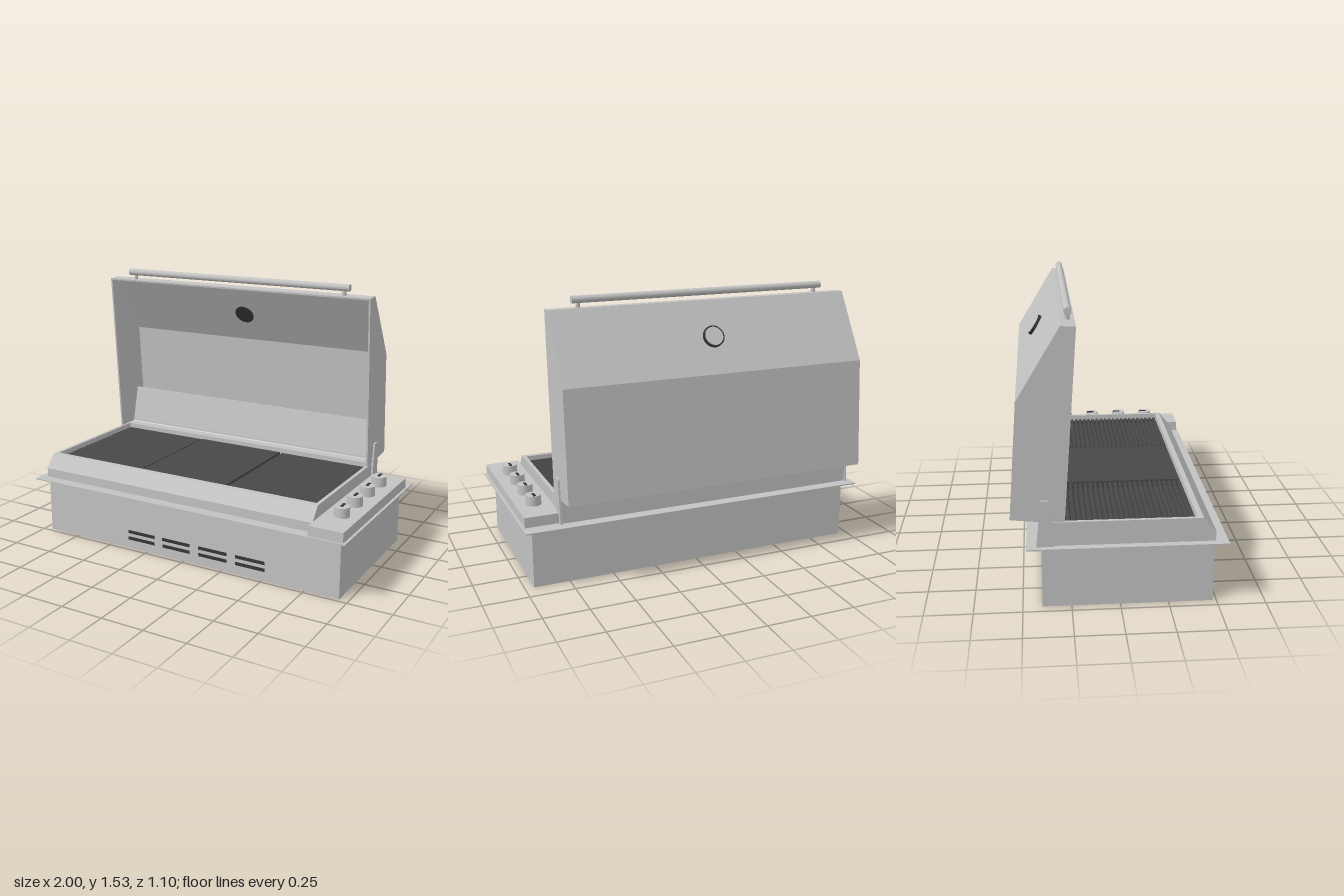
import * as THREE from 'three';

export function createModel() {
  const model = new THREE.Group();
  const mat = (name, color, extra = {}) => {
    const m = new THREE.MeshStandardMaterial({ color, ...extra });
    m.name = name;
    return m;
  };
  const steel = mat('brushed steel', 0xc2c2c2);
  const iron = mat('cast iron', 0x484848);
  const black = mat('black trim', 0x363636);

  const add = (name, geometry, material, parent = model) => {
    const mesh = new THREE.Mesh(geometry, material);
    mesh.name = name;
    parent.add(mesh);
    return mesh;
  };
  const group = (name) => {
    const g = new THREE.Group();
    g.name = name;
    model.add(g);
    return g;
  };
  // Box given by its limits on each axis
  const box = (name, [x0, x1], [y0, y1], [z0, z1], material, parent) => {
    const mesh = add(name, new THREE.BoxGeometry(x1 - x0, y1 - y0, z1 - z0), material, parent);
    mesh.position.set((x0 + x1) / 2, (y0 + y1) / 2, (z0 + z1) / 2);
    return mesh;
  };
  // Side profile of [z, y] points, extruded from x0 to x1
  const profile = (name, points, x0, x1, material, parent) => {
    const shape = new THREE.Shape(points.map(([z, y]) => new THREE.Vector2(-z, y)));
    const geo = new THREE.ExtrudeGeometry(shape, { depth: x1 - x0, bevelEnabled: false });
    geo.rotateY(Math.PI / 2).translate(x0, 0, 0);
    return add(name, geo, material, parent);
  };
  // Round rod lying along x
  const rod = (name, x0, x1, y, z, r, sides, material, parent) => {
    const geo = new THREE.CylinderGeometry(r, r, x1 - x0, sides).rotateZ(Math.PI / 2);
    add(name, geo, material, parent).position.set((x0 + x1) / 2, y, z);
  };

  const L = -0.96, R = 0.79;

  // Built-in body, mounting flange and vent slots
  box('body', [-0.95, 0.95], [0, 0.336], [-0.4, 0.48], steel);
  box('flange', [-1, 1], [0.336, 0.343], [-0.475, 0.55], steel);
  const vents = group('vents');
  for (const x of [-0.375, -0.14, 0.1, 0.335])
    for (const y of [0.055, 0.095])
      box('ventSlot', [x, x + 0.18], [y, y + 0.018], [0.476, 0.484], black, vents);

  // Firebox rim with a sloped front
  const rim = group('fireboxRim');
  const slope = [[0.485, 0.34], [0.485, 0.395], [0.42, 0.47]];
  const side = [...slope, [-0.41, 0.47], [-0.41, 0.34]];
  profile('frontRim', [...slope, [0.39, 0.47], [0.39, 0.34]], L, R, steel, rim);
  profile('leftRim', side, R - 0.02, R, steel, rim);
  profile('rightRim', side, L, L + 0.02, steel, rim);
  box('backRim', [L + 0.02, R - 0.02], [0.34, 0.47], [-0.41, -0.35], steel, rim);

  // Cooking surfaces: two barred grates and a flat griddle between them
  box('tray', [L + 0.02, R - 0.02], [0.39, 0.415], [-0.35, 0.39], iron);
  box('griddle', [-0.365, 0.19], [0.415, 0.446], [-0.345, 0.385], iron);
  for (const [name, x0, x1] of [['rightGrate', -0.935, -0.38], ['leftGrate', 0.205, 0.765]]) {
    const grate = group(name);
    for (let i = 0; i < 27; i++) rod('bar', x0, x1, 0.436, -0.338 + i * 0.0276, 0.01, 8, iron, grate);
    for (const x of [x0, x1 - 0.01]) box('rail', [x, x + 0.01], [0.415, 0.434], [-0.345, 0.385], iron, grate);
  }

  // Control panel with four knobs
  box('controlPanel', [R, 0.985], [0.343, 0.4], [-0.395, 0.54], steel);
  for (let i = 0; i < 4; i++) {
    const knob = group('knob');
    knob.position.set(0.888, 0.4, -0.21 + i * 0.18);
    add('knobBody', new THREE.CylinderGeometry(0.042, 0.043, 0.055, 32), steel, knob).position.y = 0.0275;
    box('knobMarker', [-0.007, 0.007], [0.052, 0.059], [-0.034, 0.01], black, knob);
  }

  // Open lid: bent shell, end plates and inner panel
  const lid = group('lid');
  const outer = [[-0.215, 1.46], [-0.29, 1.465], [-0.51, 1.1], [-0.553, 0.49], [-0.41, 0.476]];
  const inner = [[-0.411, 0.486], [-0.541, 0.5], [-0.499, 1.102], [-0.285, 1.454], [-0.216, 1.45]];
  profile('lidShell', [...outer, ...inner], L + 0.01, R - 0.01, steel, lid);
  const end = [...outer, [-0.28, 0.472]];
  profile('lidRightEnd', end, L, L + 0.01, steel, lid);
  profile('lidLeftEnd', end, R - 0.01, R, steel, lid);
  profile('lidInnerPanel', [[-0.37, 0.5], [-0.42, 0.71], [-0.428, 0.71], [-0.378, 0.5]], -0.92, 0.75, steel, lid);

  // Handle bar on two posts
  rod('handleBar', -0.83, 0.655, 1.506, -0.25, 0.02, 24, steel, lid);
  for (const x of [-0.79, 0.62])
    add('handlePost', new THREE.CylinderGeometry(0.012, 0.012, 0.05, 16), steel, lid).position.set(x, 1.48, -0.25);

  // Temperature gauge through the sloped lid face
  const gauge = group('gauge');
  gauge.position.set(-0.088, 1.281, -0.401);
  gauge.rotation.x = -Math.atan2(0.365, 0.22);
  gauge.rotation.x = Math.atan2(-0.365, 0.22);
  add('gaugeBezel', new THREE.CylinderGeometry(0.06, 0.06, 0.032, 40), black, gauge);
  add('gaugeFace', new THREE.CylinderGeometry(0.052, 0.052, 0.004, 40), steel, gauge).position.y = 0.016;

  // Hinge brackets on both ends
  const bracket = [[-0.335, 0.34], [-0.36, 0.59], [-0.4, 0.59], [-0.425, 0.34]];
  profile('leftHinge', bracket, R, R + 0.01, steel);
  profile('rightHinge', bracket, L - 0.01, L, steel);

  return model;
}
